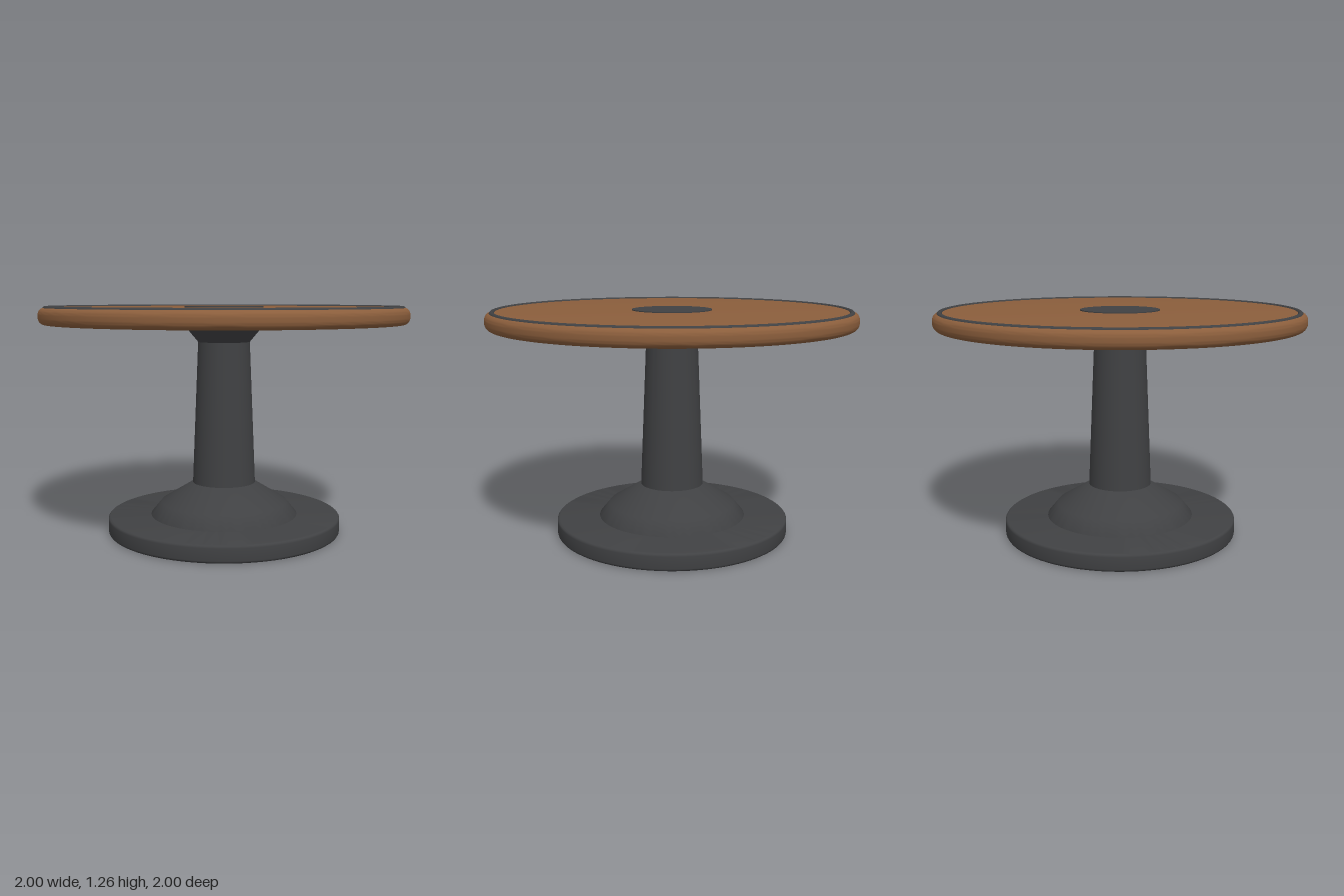
import * as THREE from 'three';
import { toCreasedNormals } from 'three/addons/utils/BufferGeometryUtils.js';

const wood = new THREE.MeshStandardMaterial({ color: 0x8b5e3c });
const metal = new THREE.MeshStandardMaterial({ color: 0x404143 });

// Turned part from a [radius, height] profile, listed bottom to top
function turned(name, profile, material) {
  const points = profile.map(([r, y]) => new THREE.Vector2(r, y));
  const geometry = toCreasedNormals(new THREE.LatheGeometry(points, 96), 0.6);
  const mesh = new THREE.Mesh(geometry, material);
  mesh.name = name;
  return mesh;
}

// Closed disc profile with rounded edges
function roundedDisc(radius, bottom, top, bevel, steps = 6) {
  const profile = [[0, bottom]];
  for (const [cy, start] of [[bottom + bevel, -Math.PI / 2], [top - bevel, 0]]) {
    for (let i = 0; i <= steps; i++) {
      const a = start + (i / steps) * Math.PI / 2;
      profile.push([radius - bevel + bevel * Math.cos(a), cy + bevel * Math.sin(a)]);
    }
  }
  profile.push([0, top]);
  return profile;
}

export function createModel() {
  const table = new THREE.Group();
  table.name = 'pedestalTable';

  // Foot and stem
  table.add(turned('basePlate', roundedDisc(0.65, 0, 0.095, 0.015, 4), metal));
  table.add(turned('baseSkirt', [[0, 0.09], [0.412, 0.09], [0.41, 0.097], [0.352, 0.167], [0.175, 0.275], [0, 0.275]], metal));
  table.add(turned('column', [[0, 0.27], [0.175, 0.27], [0.142, 1.08], [0, 1.08]], metal));
  table.add(turned('collar', [[0, 1.058], [0.14, 1.058], [0.228, 1.163], [0, 1.163]], metal));

  // Top with its inlaid ring and centre disc
  table.add(turned('tabletop', roundedDisc(1, 1.16, 1.25, 0.036, 8), wood));
  const ring = new THREE.Mesh(new THREE.TorusGeometry(0.961, 0.015, 12, 96), metal);
  ring.name = 'rimRing';
  ring.rotation.x = Math.PI / 2;
  ring.position.y = 1.243;
  table.add(ring);
  table.add(turned('centreDisc', [[0, 1.24], [0.217, 1.24], [0.217, 1.255], [0, 1.255]], metal));

  return table;
}
